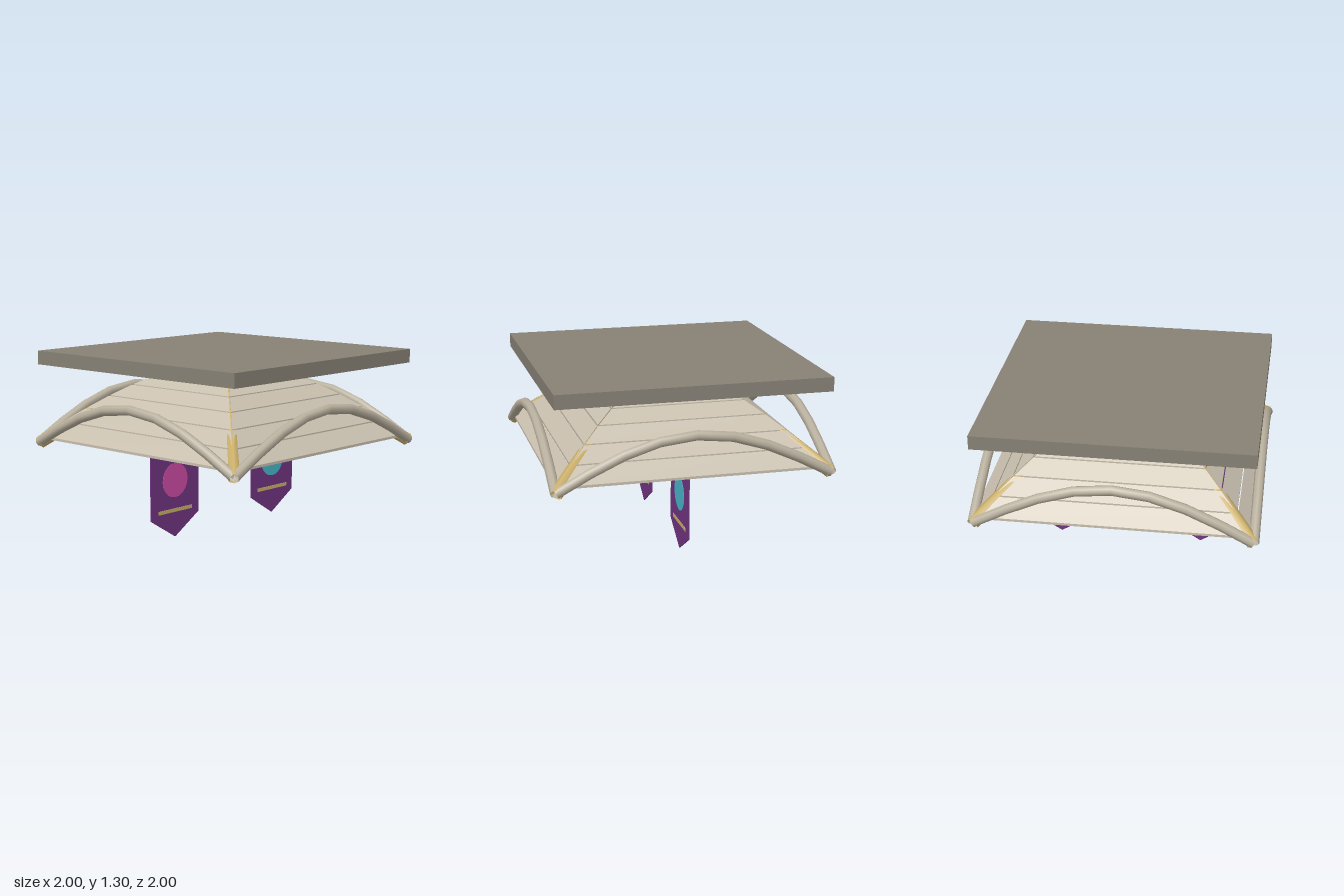
import * as THREE from 'three';

const mat = (name, color, side = THREE.FrontSide) =>
  Object.assign(new THREE.MeshStandardMaterial({ color, side }), { name });

// Quarter-wave rise shared by ribs and vault: 1 at the middle, 0 at the walls
const rise = (x) => Math.cos((x / 0.96) * Math.PI / 2);

class ArchCurve extends THREE.Curve {
  constructor(toPoint) { super(); this.toPoint = toPoint; }
  getPoint(t, target = new THREE.Vector3()) {
    return target.copy(this.toPoint((t * 2 - 1) * 0.96));
  }
}

// One sloping stone course: a thin slab whose ends are mitred along the diagonals
function courseGeometry(a, b, ya, yb) {
  const t = 0.018, inset = 0.006;
  const ha = a - inset, hb = Math.max(b - inset, 0.003);
  const p = [
    [-ha, ya, a], [ha, ya, a], [hb, yb, b], [-hb, yb, b],
    [-ha, ya - t, a], [ha, ya - t, a], [hb, yb - t, b], [-hb, yb - t, b],
  ];
  const quads = [[0, 1, 2, 3], [5, 4, 7, 6], [4, 5, 1, 0], [3, 2, 6, 7], [1, 5, 6, 2], [4, 0, 3, 7]];
  const pos = [];
  for (const [i, j, k, l] of quads) for (const n of [i, j, k, i, k, l]) pos.push(...p[n]);
  const g = new THREE.BufferGeometry();
  g.setAttribute('position', new THREE.Float32BufferAttribute(pos, 3));
  g.computeVertexNormals();
  return g;
}

export function createModel() {
  const model = new THREE.Group();
  model.name = 'vaultedCeiling';

  const slabStone = mat('slab stone', 0x878175);
  const webStone = mat('web stone', 0xc8bfae);
  const archStone = mat('arch stone', 0xb9b09e, THREE.DoubleSide);
  const gold = mat('gold', 0xc9ae6a, THREE.DoubleSide);
  const purple = mat('purple cloth', 0x703480);
  const pink = mat('pink emblem', 0xcc4aa4);
  const cyan = mat('cyan emblem', 0x48b4c8);

  const add = (parent, name, geometry, material, x = 0, y = 0, z = 0) => {
    const mesh = new THREE.Mesh(geometry, material);
    mesh.name = name;
    mesh.position.set(x, y, z);
    parent.add(mesh);
    return mesh;
  };

  // Flat slab above the vault
  add(model, 'ceilingSlab', new THREE.BoxGeometry(1.92, 0.1, 1.92), slabStone, 0, 1.25, 0);

  // Four wall arches
  const wallArch = new ArchCurve((x) => new THREE.Vector3(x, 0.63 + 0.332 * rise(x), 0.963));
  const archGeometry = new THREE.TubeGeometry(wallArch, 8, 0.036, 8);

  // Vault courses, eight per side, with narrow open joints
  const courses = 8, step = 0.96 / courses, joint = 0.004;
  const height = (x) => 0.675 + 0.53 * rise(x);
  const courseGeometries = [];
  for (let i = 0; i < courses; i++) {
    const a = 0.96 - i * step, b = a - step;
    const slope = (height(b) - height(a)) / step;
    const lo = i === 0 ? 0 : joint, hi = i === courses - 1 ? 0 : joint;
    courseGeometries.push(
      courseGeometry(a - lo, b + hi, height(a) + slope * lo, height(b) - slope * hi));
  }

  for (let s = 0; s < 4; s++) {
    const side = new THREE.Group();
    side.name = 'vaultSide';
    side.rotation.y = s * Math.PI / 2;
    add(side, 'wallArch', archGeometry, archStone);
    courseGeometries.forEach((g) => add(side, 'vaultCourse', g, webStone));
    model.add(side);
  }

  // Two crossing diagonal ribs and the boss where they meet
  for (const d of [1, -1]) {
    const rib = new ArchCurve((x) => new THREE.Vector3(x, 0.625 + 0.515 * rise(x), x * d));
    add(model, 'diagonalRib', new THREE.TubeGeometry(rib, 16, 0.046, 8), gold);
  }
  add(model, 'centreBoss', new THREE.SphereGeometry(0.112, 12, 8), gold, 0, 1.13, 0).scale.y = 0.64;

  // Hanging banners with a pointed hem, emblem, stripe and rod
  const cloth = new THREE.Shape([[-0.24, 0.78], [-0.24, 0.148], [0, 0], [0.24, 0.148], [0.24, 0.78]]
    .map(([x, y]) => new THREE.Vector2(x, y)));
  const clothGeometry = new THREE.ExtrudeGeometry(cloth, { depth: 0.008, bevelEnabled: false });
  clothGeometry.translate(0, 0, -0.004);
  const discGeometry = new THREE.CylinderGeometry(0.125, 0.125, 0.014, 20).rotateX(Math.PI / 2);
  const rodGeometry = new THREE.CylinderGeometry(0.011, 0.011, 0.56, 8).rotateX(Math.PI / 2);
  for (const [x, emblem] of [[-0.53, pink], [0.53, cyan]]) {
    const banner = new THREE.Group();
    banner.name = 'banner';
    banner.position.x = x;
    add(banner, 'bannerCloth', clothGeometry, purple);
    add(banner, 'bannerEmblem', discGeometry, emblem, 0, 0.412, 0);
    add(banner, 'bannerStripe', new THREE.BoxGeometry(0.34, 0.026, 0.014), gold, 0, 0.194, 0);
    add(banner, 'bannerRod', rodGeometry, gold, 0, 0.785, 0);
    model.add(banner);
  }
  return model;
}
